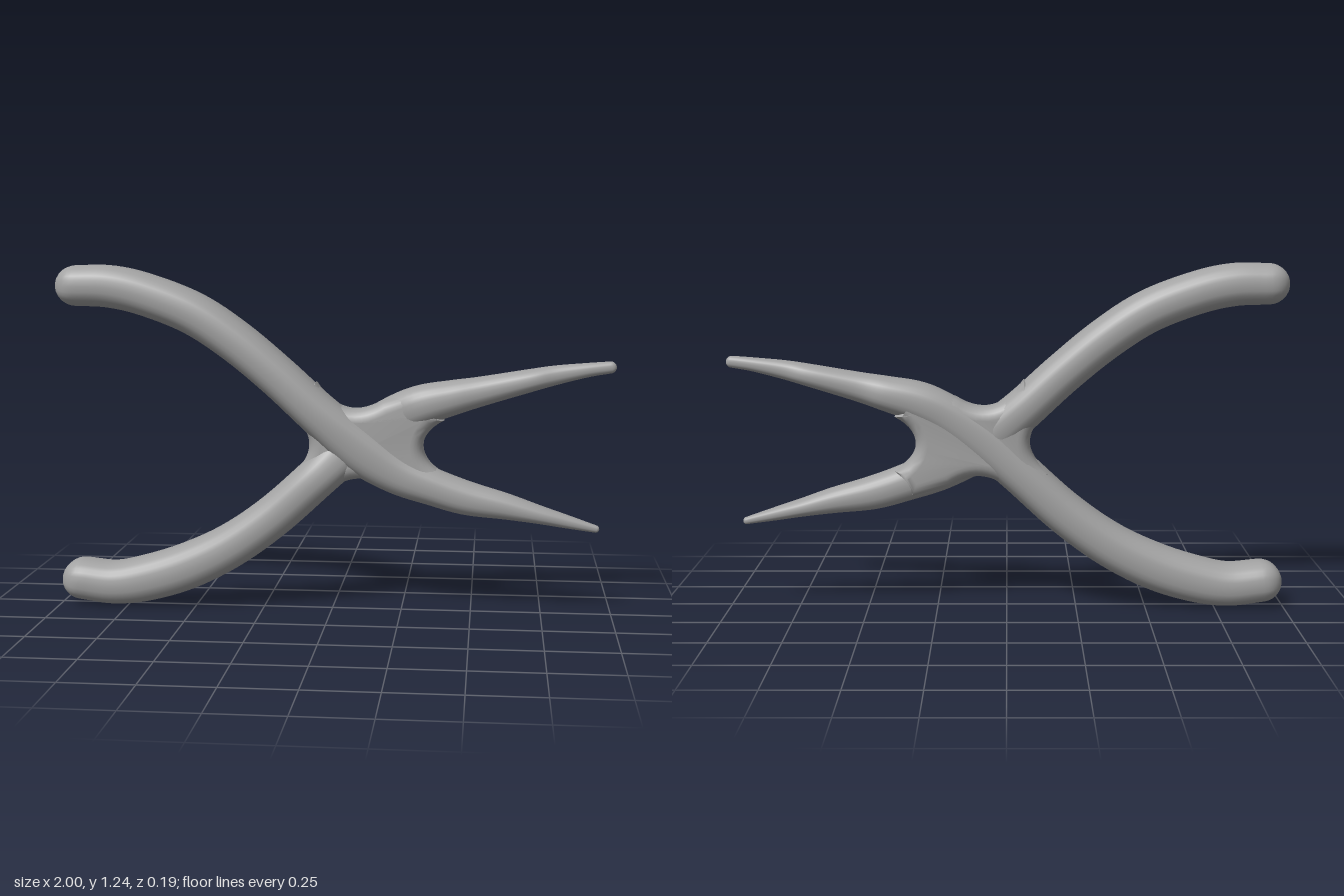
import * as THREE from 'three';
import { toCreasedNormals } from 'three/addons/utils/BufferGeometryUtils.js';

const SIDES = 28;
const power = (v, e) => Math.sign(v) * Math.pow(Math.abs(v), e);

// Loft rounded cross-sections along stations [x, y, z, half width, half depth], with domed ends
function loft(stations, steps) {
  const path = new THREE.CatmullRomCurve3(stations.map(s => new THREE.Vector3(s[0], s[1], s[2])), false, 'catmullrom');
  const size = new THREE.CatmullRomCurve3(stations.map(s => new THREE.Vector3(s[3], s[4], 0)), false, 'catmullrom');
  const rings = [];
  const addRing = (t, push, sw, sd) => {
    const c = path.getPoint(t), d = path.getTangent(t).setZ(0).normalize(), r = size.getPoint(t);
    rings.push({ c: c.addScaledVector(d, push * r.x), d, w: r.x * sw, h: r.y * sd });
  };
  const CAP = 7;
  const cap = (t, dir, k) => {
    const a = (k / CAP) * Math.PI / 2, s = Math.max(Math.cos(a), 0);
    addRing(t, dir * Math.sin(a), s, Math.pow(s, 0.75));
  };
  for (let k = CAP; k > 0; k--) cap(0, -1, k);
  for (let i = 0; i <= steps; i++) addRing(i / steps, 0, 1, 1);
  for (let k = 1; k <= CAP; k++) cap(1, 1, k);

  const pos = [], index = [];
  rings.forEach(({ c, d, w, h }, i) => {
    for (let j = 0; j < SIDES; j++) {
      const a = (j / SIDES) * Math.PI * 2;
      const u = w * power(Math.cos(a), 0.82), v = h * power(Math.sin(a), 0.82);
      pos.push(c.x - d.y * u, c.y + d.x * u, c.z + v);
      if (i === rings.length - 1) continue;
      const p = i * SIDES + j, q = i * SIDES + (j + 1) % SIDES;
      index.push(p, q, p + SIDES, q, q + SIDES, p + SIDES);
    }
  });
  const geo = new THREE.BufferGeometry();
  geo.setAttribute('position', new THREE.Float32BufferAttribute(pos, 3));
  geo.setIndex(index);
  geo.computeVertexNormals();
  return geo;
}

// Filleted web that joins both levers at the pivot
function hubGeometry() {
  const s = new THREE.Shape();
  s.moveTo(-0.16, 0.735);
  s.quadraticCurveTo(-0.01, 0.61, -0.15, 0.495);
  s.lineTo(-0.05, 0.4);
  s.quadraticCurveTo(0.07, 0.54, 0.2, 0.452);
  s.lineTo(0.34, 0.41);
  s.lineTo(0.4, 0.505);
  s.bezierCurveTo(0.3, 0.56, 0.3, 0.65, 0.4, 0.7);
  s.lineTo(0.3, 0.81);
  s.lineTo(0.18, 0.768);
  s.quadraticCurveTo(0.04, 0.68, -0.06, 0.83);
  const geo = new THREE.ExtrudeGeometry(s, {
    depth: 0.05, curveSegments: 14, bevelEnabled: true,
    bevelThickness: 0.045, bevelSize: 0.045, bevelOffset: -0.045, bevelSegments: 6,
  });
  geo.translate(0, 0, -0.035);
  return toCreasedNormals(geo, 1.0);
}

export function createModel() {
  const metal = new THREE.MeshStandardMaterial({ color: 0xa3a3a3 });
  metal.name = 'grey metal';
  const group = new THREE.Group();
  group.name = 'pliers';
  const add = (name, geo) => {
    const mesh = new THREE.Mesh(geo, metal);
    mesh.name = name;
    group.add(mesh);
  };

  // Front lever: upper handle, through the pivot, to the lower jaw
  add('frontLever', loft([
    [-0.925, 1.17, 0, 0.073, 0.094],
    [-0.8, 1.167, 0, 0.076, 0.095],
    [-0.67, 1.138, 0, 0.076, 0.095],
    [-0.5, 1.072, 0, 0.076, 0.095],
    [-0.35, 0.975, 0, 0.075, 0.095],
    [-0.2, 0.852, 0, 0.074, 0.094],
    [-0.05, 0.715, 0, 0.076, 0.092],
    [0.1, 0.59, 0.005, 0.085, 0.078],
    [0.23, 0.508, 0.005, 0.075, 0.07],
    [0.36, 0.458, 0, 0.066, 0.072],
    [0.48, 0.42, 0, 0.06, 0.068],
    [0.62, 0.392, 0, 0.046, 0.06],
    [0.74, 0.364, 0, 0.032, 0.05],
    [0.84, 0.34, 0, 0.023, 0.034],
    [0.94, 0.316, 0, 0.013, 0.016],
  ], 80));

  // Rear lever: lower handle, through the pivot, to the upper jaw
  add('rearLever', loft([
    [-0.922, 0.095, 0, 0.075, 0.094],
    [-0.8, 0.083, 0, 0.078, 0.095],
    [-0.68, 0.102, 0, 0.083, 0.095],
    [-0.53, 0.15, 0, 0.084, 0.095],
    [-0.37, 0.23, 0, 0.08, 0.095],
    [-0.21, 0.345, 0, 0.077, 0.094],
    [-0.05, 0.49, 0, 0.076, 0.092],
    [0.08, 0.61, -0.018, 0.08, 0.07],
    [0.2, 0.695, -0.02, 0.075, 0.066],
    [0.31, 0.748, -0.007, 0.073, 0.08],
    [0.43, 0.78, -0.005, 0.062, 0.077],
    [0.53, 0.804, 0, 0.052, 0.064],
    [0.7, 0.844, 0, 0.04, 0.058],
    [0.79, 0.864, 0, 0.034, 0.04],
    [0.9, 0.883, 0, 0.025, 0.03],
    [0.979, 0.893, 0, 0.021, 0.022],
  ], 80));

  add('pivotHub', hubGeometry());
  return group;
}
